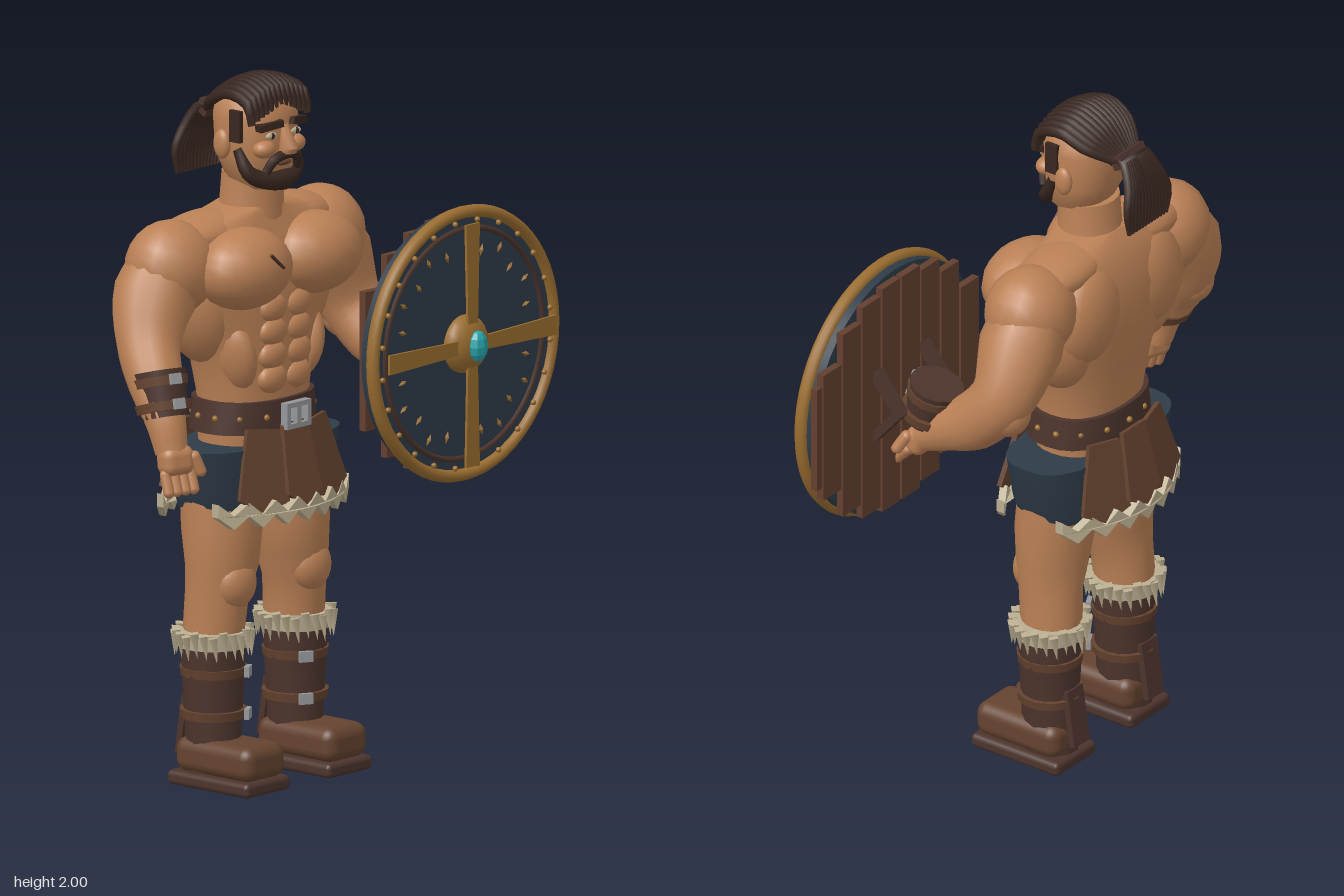
import * as THREE from 'three';
import { toCreasedNormals } from 'three/addons/utils/BufferGeometryUtils.js';
import { RoundedBoxGeometry } from 'three/addons/geometries/RoundedBoxGeometry.js';

const mat = (name, color, side = THREE.FrontSide) => {
  const m = new THREE.MeshStandardMaterial({ color, side });
  m.name = name;
  return m;
};
const V = (p) => new THREE.Vector3(p[0], p[1], p[2]);

// Stacked elliptical rings [y, cx, cz, rx, rz], bottom to top; e < 1 makes them squarer
function loft(rings, n = 20, e = 1) {
  const pos = [], idx = [], pw = (v) => Math.sign(v) * Math.abs(v) ** e;
  rings.forEach(([y, cx, cz, rx, rz]) => {
    for (let i = 0; i < n; i++) {
      const a = (i / n) * Math.PI * 2;
      pos.push(cx + rx * pw(Math.cos(a)), y, cz + rz * pw(Math.sin(a)));
    }
  });
  const last = rings.length - 1, low = n * rings.length;
  for (const r of [rings[0], rings[last]]) pos.push(r[1], r[0], r[2]);
  for (let i = 0; i < n; i++) {
    const k = (i + 1) % n;
    for (let j = 0; j < last; j++) {
      const a = j * n + i, b = j * n + k;
      idx.push(a, a + n, b, b, a + n, b + n);
    }
    idx.push(low, i, k, low + 1, last * n + k, last * n + i);
  }
  const g = new THREE.BufferGeometry();
  g.setAttribute('position', new THREE.Float32BufferAttribute(pos, 3));
  g.setIndex(idx);
  return toCreasedNormals(g, 0.8);
}

// Tube through [x, y, z, radius] stations
function limb(st, steps = 18, n = 14) {
  const curve = new THREE.CatmullRomCurve3(st.map(V));
  const g = new THREE.TubeGeometry(curve, steps, 1, n), p = g.attributes.position, v = new THREE.Vector3();
  for (let j = 0; j <= steps; j++) {
    const u = j / steps, c = curve.getPointAt(u), t = curve.getUtoTmapping(u) * (st.length - 1);
    const k = Math.min(Math.floor(t), st.length - 2), r = THREE.MathUtils.lerp(st[k][3], st[k + 1][3], t - k);
    for (let i = 0; i <= n; i++) {
      const q = j * (n + 1) + i;
      v.fromBufferAttribute(p, q).sub(c).multiplyScalar(r).add(c);
      p.setXYZ(q, v.x, v.y, v.z);
    }
  }
  return g;
}

export function createModel() {
  const skin = mat('skin', 0xba8055), hair = mat('hair', 0x38261f), leather = mat('leather', 0x65432f, THREE.DoubleSide);
  const dark = mat('darkLeather', 0x4c342c), wood = mat('wood', 0x633f30), navy = mat('navyCloth', 0x2e3b48);
  const gold = mat('gold', 0x9a6d30), fur = mat('creamFur', 0xbbae90, THREE.DoubleSide);
  const steel = mat('steel', 0x95979a), teal = mat('tealGem', 0x27a3aa);

  const model = new THREE.Group(), body = new THREE.Group();
  model.name = 'warrior';
  body.name = 'body';
  body.position.x = -0.16;
  model.add(body);

  const add = (name, geo, m, p = [0, 0, 0], r = [0, 0, 0], parent = body) => {
    const o = new THREE.Mesh(geo, m);
    o.name = name;
    o.position.set(...p);
    o.rotation.set(...r);
    parent.add(o);
    return o;
  };
  const box = (name, m, s, p, r, parent) => add(name, new THREE.BoxGeometry(...s), m, p, r, parent);
  const ball = (name, m, s, p, r, parent) => {
    const o = add(name, new THREE.SphereGeometry(1, 18, 12), m, p, r, parent);
    o.scale.set(...s);
    return o;
  };

  // Torso and neck
  add('torso', loft([[0.95, 0, -0.11, 0.17, 0.12], [1.1, 0, -0.11, 0.175, 0.125], [1.22, 0, -0.115, 0.2, 0.135],
    [1.34, 0, -0.125, 0.25, 0.145], [1.46, 0, -0.13, 0.31, 0.145], [1.55, 0, -0.13, 0.3, 0.125],
    [1.6, 0, -0.13, 0.22, 0.1], [1.63, 0, -0.12, 0.1, 0.085]], 28, 0.85), skin);
  add('neck', loft([[1.55, 0, -0.12, 0.11, 0.1], [1.62, 0, -0.115, 0.095, 0.088], [1.72, 0, -0.11, 0.09, 0.085]]), skin);
  for (const s of [-1, 1]) {
    ball('pectoral', skin, [0.158, 0.115, 0.12], [s * 0.145, 1.475, -0.015]);
    ball('latissimus', skin, [0.09, 0.16, 0.11], [s * 0.2, 1.35, -0.14], [0, 0, -s * 0.25]);
    ball('shoulderBlade', skin, [0.13, 0.15, 0.075], [s * 0.14, 1.43, -0.21], [0, 0, s * 0.2]);
    ball('trapezius', skin, [0.17, 0.06, 0.1], [s * 0.17, 1.565, -0.14], [0, 0, -s * 0.06]);
    ball('deltoid', skin, [0.14, 0.135, 0.125], [s * 0.305, 1.485, -0.14], [0, 0, s * 0.35]);
    for (let i = 0; i < 4; i++) ball('abdominal', skin, [0.055, 0.042, 0.03], [s * 0.05, 1.15 + i * 0.067, 0.005]);
    ball('oblique', skin, [0.05, 0.11, 0.08], [s * 0.14, 1.22, -0.06], [0, 0, -s * 0.2]);
  }
  box('scar', dark, [0.07, 0.007, 0.008], [-0.135, 1.51, 0.104], [0, 0, -0.7]);

  // Head and face
  add('head', loft([[1.68, 0, -0.075, 0.065, 0.06], [1.71, 0, -0.085, 0.095, 0.085], [1.78, 0, -0.1, 0.112, 0.105],
    [1.88, 0, -0.1, 0.115, 0.112], [1.93, 0, -0.105, 0.105, 0.1], [1.965, 0, -0.11, 0.06, 0.06]], 20, 0.85), skin);
  add('nose', loft([[1.785, 0, 0.02, 0.024, 0.026], [1.8, 0, 0.025, 0.026, 0.028], [1.865, 0, 0.004, 0.012, 0.012]], 8), skin);
  add('goatee', limb([[-0.108, 1.8, -0.07, 0.014], [-0.095, 1.73, -0.035, 0.022], [0, 1.705, -0.005, 0.032],
    [0.095, 1.73, -0.035, 0.022], [0.108, 1.8, -0.07, 0.014]], 20, 8), hair);
  add('moustache', limb([[-0.065, 1.735, -0.003, 0.012], [-0.045, 1.77, 0.012, 0.014], [0, 1.782, 0.018, 0.014],
    [0.045, 1.77, 0.012, 0.014], [0.065, 1.735, -0.003, 0.012]], 14, 8), hair);
  ball('lip', leather, [0.028, 0.009, 0.012], [0, 1.757, 0.006]);
  for (const s of [-1, 1]) {
    box('eyebrow', hair, [0.078, 0.02, 0.028], [s * 0.056, 1.868, 0.003], [0, s * 0.25, -s * 0.12]);
    ball('eye', fur, [0.022, 0.01, 0.008], [s * 0.05, 1.838, 0.004]);
    ball('pupil', hair, [0.008, 0.009, 0.006], [s * 0.05, 1.838, 0.008]);
    ball('cheek', skin, [0.035, 0.026, 0.03], [s * 0.062, 1.8, -0.012]);
    ball('ear', skin, [0.018, 0.042, 0.028], [s * 0.122, 1.81, -0.115]);
    box('sideburn', hair, [0.014, 0.09, 0.04], [s * 0.115, 1.865, -0.07]);
  }

  // Hair strands swept back into a tied, fanned tail
  for (let i = 0; i < 13; i++) {
    const u = i / 6 - 1, x = u * 0.115, d = u * u * 0.03;
    add('hairStrand', limb([[x, 1.905 - d, -0.01, 0.011], [x, 1.962 - d, -0.025, 0.016], [x, 1.985 - d, -0.1, 0.016],
      [x * 0.9, 1.955 - d, -0.17, 0.016], [x * 0.45, 1.885, -0.235, 0.013]], 10, 6), hair);
    add('tailStrand', limb([[x * 0.4, 1.875, -0.225, 0.012], [x * 0.4, 1.89, -0.26, 0.014], [x * 0.6, 1.83, -0.3, 0.014],
      [x * 0.8, 1.76, -0.315, 0.013], [x * 0.72, 1.69, -0.315, 0.007]], 10, 6), hair);
  }
  box('hairTie', dark, [0.11, 0.04, 0.04], [0, 1.882, -0.25], [0.5, 0, 0]);

  // Arms: the right hangs, the left is bent behind the shield
  const hand = (p, r) => {
    const g = new THREE.Group();
    g.name = 'hand';
    g.position.set(...p);
    g.rotation.set(...r);
    body.add(g);
    add('palm', new RoundedBoxGeometry(0.1, 0.085, 0.075, 3, 0.03), skin, [0, 0, 0], [0, 0, 0], g);
    for (let i = 0; i < 4; i++) add('finger', new THREE.CapsuleGeometry(0.016, 0.05, 4, 8), skin, [-0.04 + i * 0.027, -0.06, 0.012], [-0.25, 0, 0], g);
    add('thumb', new THREE.CapsuleGeometry(0.017, 0.045, 4, 8), skin, [0.055, -0.015, 0.025], [0, 0, 0.35], g);
  };
  const bracer = (p, r) => {
    const g = new THREE.Group();
    g.name = 'bracer';
    g.position.set(...p);
    g.rotation.set(...r);
    body.add(g);
    add('bracerSleeve', new THREE.CylinderGeometry(0.078, 0.062, 0.13, 14), dark, [0, 0, 0], [0, 0, 0], g);
    for (const y of [-0.035, 0.035]) {
      add('bracerStrap', new THREE.CylinderGeometry(0.081, 0.077, 0.026, 14), leather, [0, y, 0], [0, 0, 0], g);
      box('bracerBuckle', steel, [0.035, 0.03, 0.012], [-0.02, y, 0.08], [0, -0.2, 0], g);
    }
  };
  add('rightArm', limb([[-0.29, 1.52, -0.14, 0.1], [-0.37, 1.41, -0.145, 0.12], [-0.42, 1.29, -0.12, 0.09],
    [-0.455, 1.19, -0.06, 0.078], [-0.47, 1.09, -0.01, 0.056], [-0.47, 1.01, 0.01, 0.046]]), skin);
  ball('rightElbow', skin, [0.06, 0.07, 0.06], [-0.425, 1.27, -0.15]);
  bracer([-0.46, 1.165, -0.035], [-0.3, 0, -0.1]);
  hand([-0.47, 0.99, 0.025], [-0.1, -0.3, 0]);
  add('leftArm', limb([[0.29, 1.52, -0.14, 0.1], [0.37, 1.41, -0.155, 0.12], [0.435, 1.27, -0.14, 0.09],
    [0.45, 1.18, -0.06, 0.085], [0.45, 1.12, 0.04, 0.066], [0.445, 1.07, 0.12, 0.048]]), skin);
  ball('leftElbow', skin, [0.065, 0.07, 0.065], [0.435, 1.23, -0.16]);
  bracer([0.45, 1.185, 0.095], [-0.3, 0, 0]);
  hand([0.435, 1.05, 0.14], [-0.5, 0, 0]);

  // Belt
  add('belt', loft([[1.0, 0, -0.11, 0.2, 0.14], [1.09, 0, -0.11, 0.19, 0.137]], 24, 0.85), dark);
  for (let i = 0; i < 14; i++) {
    const a = ((i + 0.5) / 14) * Math.PI * 2;
    ball('beltStud', gold, [0.009, 0.009, 0.009], [Math.cos(a) * 0.196, 1.045, -0.11 + Math.sin(a) * 0.142]);
  }
  for (const y of [-1, 1]) box('buckleBar', steel, [0.1, 0.014, 0.024], [0, 1.047 + y * 0.03, 0.052]);
  for (const x of [-1, 0, 1]) box('bucklePost', steel, [0.015, 0.07, 0.024], [x * 0.043, 1.047, 0.052]);

  // Kilt, leather flaps and jagged fur trim
  add('kilt', loft([[0.78, 0, -0.11, 0.24, 0.13], [0.83, 0, -0.11, 0.26, 0.138], [0.965, 0, -0.11, 0.293, 0.14]], 28, 0.7), navy);
  const flap = (w0, w1) => {
    const s = new THREE.Shape([[-w0, 0], [-w1, -0.2], [0, -0.235], [w1, -0.2], [w0, 0]].map((p) => new THREE.Vector2(...p)));
    return new THREE.ExtrudeGeometry(s, { depth: 0.014, bevelEnabled: false });
  };
  const zig = [], N = 14;
  for (let i = 0; i <= N; i++) zig.push(new THREE.Vector2(-0.27 + (0.54 * i) / N, i % 2 ? 0.79 : 0.825));
  const edge = zig.map((p) => new THREE.Vector2(p.x, p.y - 0.038)).reverse();
  for (const s of [1, -1]) {
    const side = new THREE.Group();
    side.name = s > 0 ? 'frontFlaps' : 'backFlaps';
    side.position.z = -0.11;
    side.rotation.y = s > 0 ? 0 : Math.PI;
    body.add(side);
    add('centreFlap', flap(0.05, 0.068), leather, [0, 1.025, 0.145], [-0.2, 0, 0], side);
    for (const t of [-1, 1]) add('sideFlap', flap(0.055, 0.085), leather, [t * 0.105, 1.015, 0.125], [-0.2, t * 0.2, t * 0.16], side);
    const trim = new THREE.ExtrudeGeometry(new THREE.Shape([...zig, ...edge]), { depth: 0.025, bevelEnabled: false });
    const p = trim.attributes.position;
    for (let i = 0; i < p.count; i++) p.setZ(i, p.getZ(i) + 0.185 - 1.3 * p.getX(i) ** 2);
    trim.computeVertexNormals();
    add('furTrim', trim, fur, [0, 0, 0], [0, 0, 0], side);
  }

  // Legs and boots
  for (const s of [-1, 1]) {
    add('leg', loft([[0.36, s * 0.168, -0.11, 0.08, 0.08], [0.46, s * 0.165, -0.105, 0.083, 0.09], [0.54, s * 0.16, -0.1, 0.086, 0.092],
      [0.62, s * 0.145, -0.095, 0.107, 0.1], [0.72, s * 0.14, -0.1, 0.116, 0.112], [0.85, s * 0.13, -0.11, 0.122, 0.115]]), skin);
    ball('knee', skin, [0.068, 0.075, 0.05], [s * 0.155, 0.58, -0.035]);
    const boot = new THREE.Group();
    boot.name = 'boot';
    boot.position.set(s * 0.17, 0, -0.105);
    body.add(boot);
    add('bootShaft', loft([[0.04, 0, 0, 0.076, 0.085], [0.16, 0, 0, 0.077, 0.08], [0.3, 0, 0, 0.09, 0.085], [0.41, 0, 0, 0.092, 0.09]], 14), dark, [0, 0, 0], [0, 0, 0], boot);
    add('bootSole', new RoundedBoxGeometry(0.185, 0.042, 0.305, 2, 0.015), dark, [0, 0.021, 0.058], [0, 0, 0], boot);
    add('bootFoot', new RoundedBoxGeometry(0.168, 0.1, 0.285, 3, 0.035), leather, [0, 0.088, 0.064], [0, 0, 0], boot);
    box('heelTab', dark, [0.07, 0.17, 0.02], [0, 0.16, -0.09], [0.15, 0, 0], boot);
    for (const y of [0.205, 0.325]) {
      add('bootStrap', new THREE.CylinderGeometry(0.095, 0.091, 0.025, 14), leather, [0, y, 0], [0, 0, 0], boot);
      box('bootBuckle', steel, [0.04, 0.03, 0.014], [-s * 0.05, y, 0.085], [0, -s * 0.5, 0], boot);
    }
    add('cuff', new THREE.CylinderGeometry(0.104, 0.1, 0.045, 18), fur, [0, 0.418, 0], [0, 0, 0], boot);
    for (let i = 0; i < 24; i++) {
      const a = (i / 24) * Math.PI * 2, tuft = new THREE.ConeGeometry(0.017, 0.075, 4);
      add('furTuft', tuft, fur, [Math.cos(a) * 0.107, 0.4 + (i % 3) * 0.006, Math.sin(a) * 0.107], [Math.PI - Math.sin(a) * 0.15, 0, Math.cos(a) * 0.15], boot);
    }
  }

  // Round shield
  const shield = new THREE.Group();
  shield.name = 'shield';
  shield.position.set(0.305, 1.2, 0);
  model.add(shield);
  const q = [Math.PI / 2, 0, 0], o = [0, 0, 0];
  add('shieldFace', new THREE.CylinderGeometry(0.372, 0.372, 0.045, 48), navy, [0, 0, 0.234], q, shield);
  const rim = add('shieldRim', new THREE.TorusGeometry(0.373, 0.018, 10, 56), gold, [0, 0, 0.255], o, shield);
  rim.scale.z = 1.1;
  add('shieldBand', new THREE.TorusGeometry(0.326, 0.008, 6, 48), dark, [0, 0, 0.257], o, shield);
  for (let i = 0; i < 8; i++) {
    const x = -0.315 + i * 0.09, h = Math.sqrt(0.365 ** 2 - Math.max(0, Math.abs(x) - 0.015) ** 2);
    box('plank', wood, [0.082, h * 2 - 0.02, 0.022], [x, 0, 0.201], o, shield);
  }
  box('edgePlank', wood, [0.035, 0.32, 0.02], [0.362, 0, 0.205], o, shield);
  const arm = new THREE.Shape([[-0.02, 0.06], [0.02, 0.06], [0.028, 0.345], [-0.028, 0.345]].map((p) => new THREE.Vector2(...p)));
  for (let k = 0; k < 4; k++) {
    add('crossArm', new THREE.ExtrudeGeometry(arm, { depth: 0.008, bevelEnabled: false }), gold, [0, 0, 0.286], [0, 0, k * Math.PI / 2], shield);
    for (let i = 0; i < 5; i++) {
      const a = k * Math.PI / 2 + 0.27 + i * 0.257, r = i % 2 ? 0.29 : 0.265;
      const mark = add('faceMark', new THREE.OctahedronGeometry(0.015), gold, [Math.cos(a) * r, Math.sin(a) * r, 0.26], [0, 0, a], shield);
      mark.scale.set(1.2, 0.5, 0.5);
    }
  }
  for (let i = 0; i < 24; i++) {
    const a = ((i + 0.5) / 24) * Math.PI * 2;
    ball('rimStud', gold, [0.008, 0.008, 0.008], [Math.cos(a) * 0.35, Math.sin(a) * 0.35, 0.268], o, shield);
  }
  ball('boss', gold, [0.083, 0.083, 0.05], [0, 0, 0.262], o, shield);
  const gem = add('gem', new THREE.SphereGeometry(1, 8, 6).toNonIndexed(), teal, [0, 0, 0.312], o, shield);
  gem.geometry.computeVertexNormals();
  gem.scale.set(0.032, 0.045, 0.025);
  for (const x of [-0.105, 0.11]) for (const t of [-1, 1]) {
    box('gripStrap', dark, [0.036, 0.14, 0.026], [x, t * 0.05, 0.15], [t * 0.7, 0, 0], shield);
  }
  return model;
}
